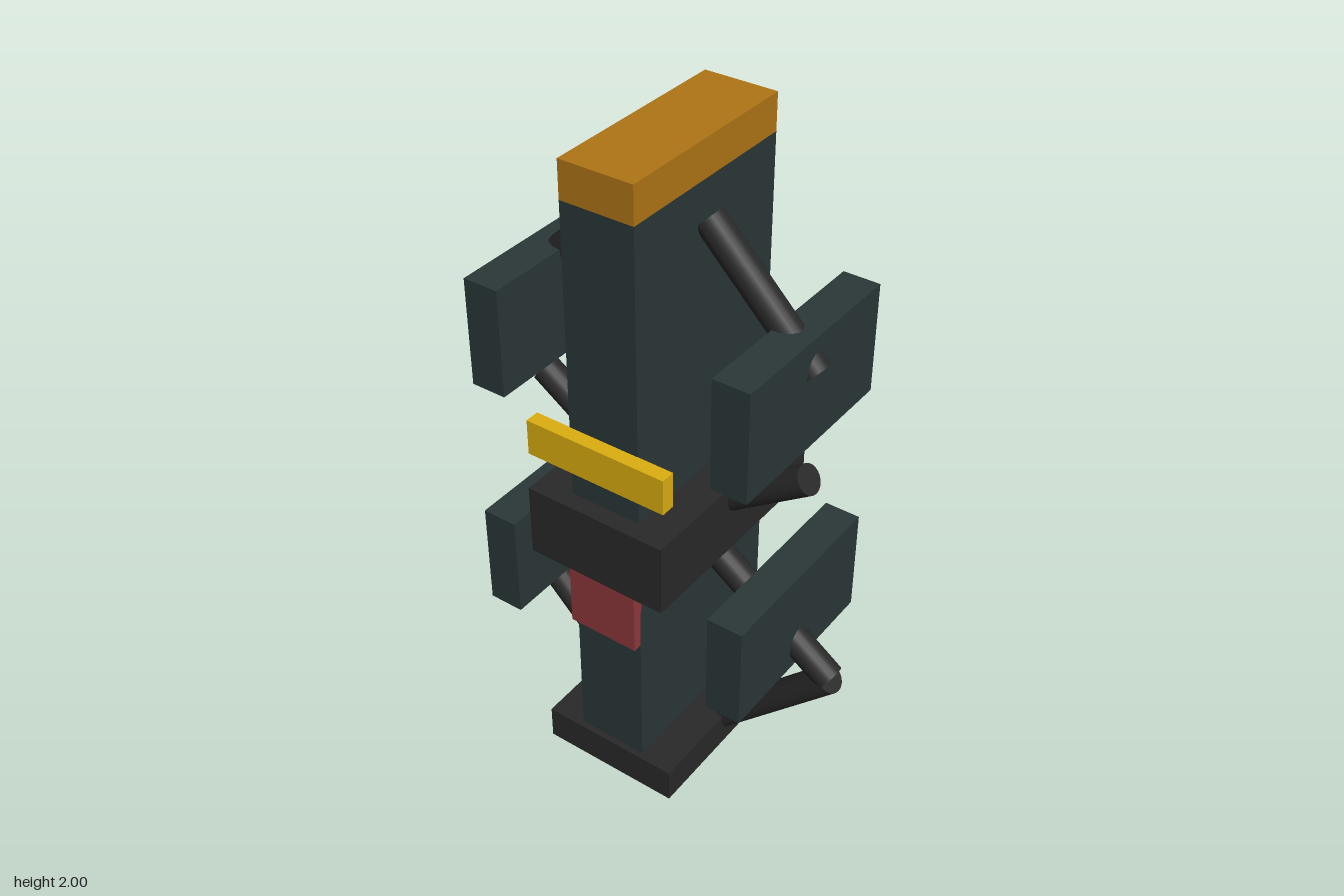
import * as THREE from 'three';

const paint = (color) => new THREE.MeshStandardMaterial({ color });

export function createModel() {
  const model = new THREE.Group();
  const slate = paint(0x2b3737);
  const black = paint(0x292929);
  const orange = paint(0xb07516);
  const yellow = paint(0xdcae10);
  const red = paint(0x8f383b);

  // Box given by its ranges along x, y and z
  function box(name, material, [x0, x1], [y0, y1], [z0, z1]) {
    const mesh = new THREE.Mesh(new THREE.BoxGeometry(x1 - x0, y1 - y0, z1 - z0), material);
    mesh.position.set((x0 + x1) / 2, (y0 + y1) / 2, (z0 + z1) / 2);
    mesh.name = name;
    model.add(mesh);
  }

  // Round strut between two points in the plane z = 0
  function strut(name, [x0, y0], [x1, y1]) {
    const dx = x1 - x0, dy = y1 - y0;
    const mesh = new THREE.Mesh(new THREE.CylinderGeometry(0.0435, 0.0435, Math.hypot(dx, dy), 20), black);
    mesh.position.set((x0 + x1) / 2, (y0 + y1) / 2, 0);
    mesh.rotation.z = Math.atan2(-dx, dy);
    mesh.name = name;
    model.add(mesh);
  }

  // Central column with cap, waist and base
  box('column', slate, [-0.109, 0.109], [0.1, 1.893], [-0.297, 0.297]);
  box('cap', orange, [-0.109, 0.109], [1.893, 2], [-0.297, 0.297]);
  box('waist', black, [-0.218, 0.218], [0.8, 1.018], [-0.349, 0.349]);
  box('base', black, [-0.218, 0.218], [0.035, 0.143], [-0.315, 0.315]);

  // Front details
  box('frontBar', yellow, [-0.218, 0.218], [1.128, 1.236], [0.296, 0.339]);
  box('frontPanel', red, [-0.109, 0.109], [0.582, 0.8], [0.28, 0.325]);

  // Side panels and struts, mirrored
  for (const [side, s] of [['left', 1], ['right', -1]]) {
    const px = s > 0 ? [0.329, 0.437] : [-0.437, -0.329];
    box(side + 'UpperPanel', slate, px, [1.238, 1.565], [-0.297, 0.297]);
    box(side + 'LowerPanel', slate, px, [0.475, 0.8], [-0.297, 0.297]);
    strut(side + 'UpperStrut', [s * 0.112, 1.785], [s * 0.437, 1.458]);
    strut(side + 'MiddleStrut', [s * 0.06, 0.868], [s * 0.437, 1.126]);
    strut(side + 'LowerStrut', [s * 0.11, 0.779], [s * 0.544, 0.468]);
    strut(side + 'LegStrut', [s * 0.112, 0.031], [s * 0.546, 0.467]);
  }
  return model;
}
